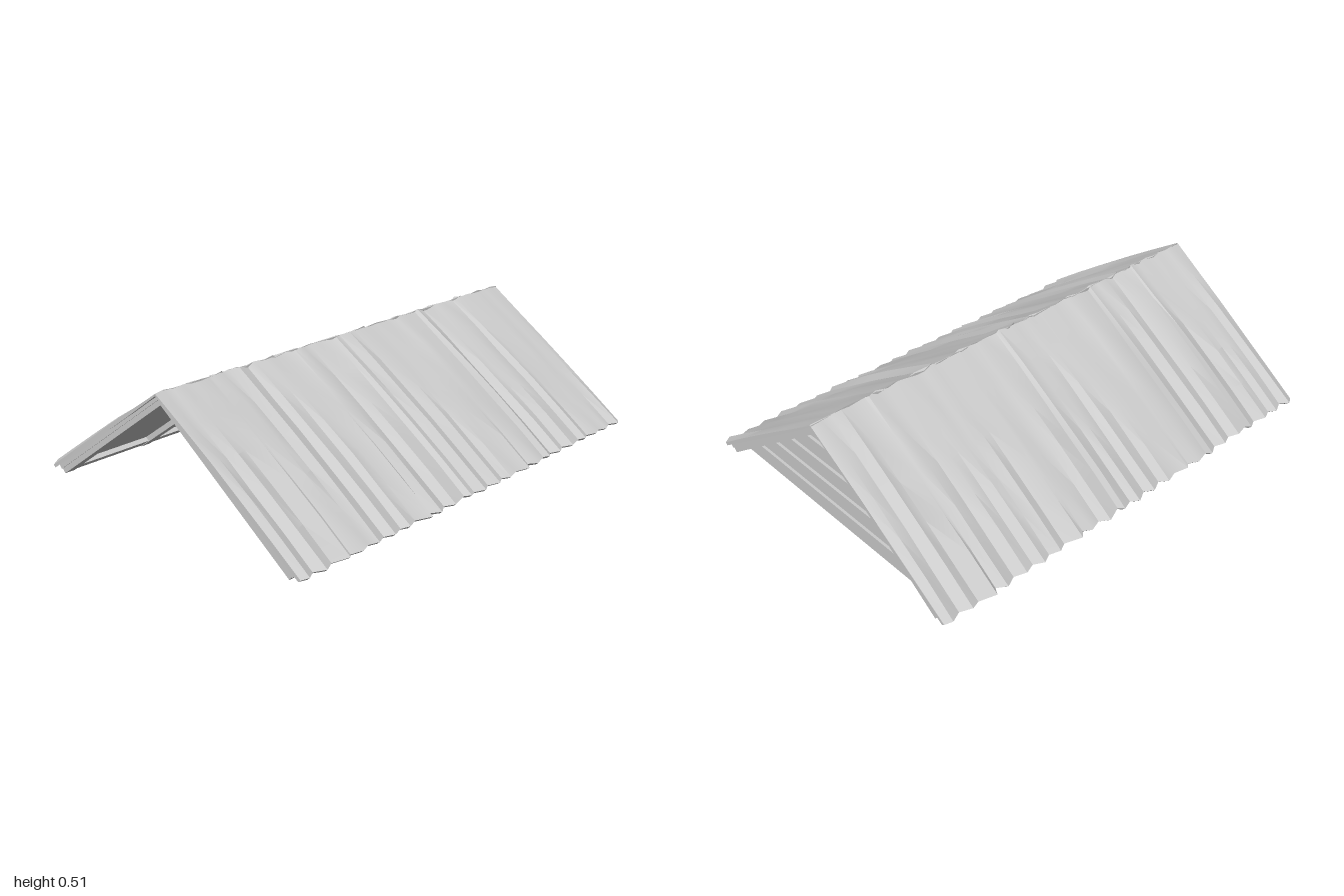
import * as THREE from 'three';
import { toCreasedNormals } from 'three/addons/utils/BufferGeometryUtils.js';

const material = new THREE.MeshStandardMaterial({ color: 0xcccccc, side: THREE.DoubleSide });

// small seeded random, -1..1
function seeded(seed) {
  let s = seed;
  return () => {
    s = (s * 16807) % 2147483647;
    return (s / 2147483647) * 2 - 1;
  };
}

// outline in x/y, extruded from z0 to z1
function prism(name, points, z0, z1) {
  const shape = new THREE.Shape(points.map(([x, y]) => new THREE.Vector2(x, y)));
  const geometry = new THREE.ExtrudeGeometry(shape, { depth: z1 - z0, bevelEnabled: false });
  geometry.translate(0, 0, z0);
  const mesh = new THREE.Mesh(geometry, material);
  mesh.name = name;
  return mesh;
}

// weathered ribbed covering of the +x slope
function coveringGeometry(seed) {
  const rows = 5, columns = 46;
  const rand = seeded(seed);
  const ribs = [];
  for (let k = 0; k <= columns; k++) {
    ribs.push({
      height: (k % 2 ? 0.004 : -0.002) + rand() * 0.005,
      eave: (k % 2 ? 0.012 : -0.008) + rand() * 0.005,
      ridge: rand() * 0.007,
      shift: rand() * 0.007,
      bend: Array.from({ length: rows + 1 }, () => rand() * 0.003),
    });
  }
  // a few raised overlaps between sheets
  [7, 13, 16, 25, 30, 40].forEach((k) => { ribs[k].height += 0.009; ribs[k + 1].shift = -0.028; });

  const geometry = new THREE.BoxGeometry(1, 1, 2, rows, 1, columns);
  const p = geometry.attributes.position;
  for (let i = 0; i < p.count; i++) {
    const u = p.getX(i) + 0.5;
    const top = p.getY(i) > 0;
    const k = Math.round((p.getZ(i) + 1) / 2 * columns);
    const rib = ribs[k];
    const end = k === 0 || k === columns;
    const ripple = (rib.height + rib.bend[Math.round(u * rows)]) * (0.35 + 0.65 * Math.sin(Math.PI * (0.1 + 0.8 * u)));
    const sag = 0.008 * Math.sin(Math.PI * u);
    const lift = top ? 0.011 + ripple + sag : Math.min(0, ripple);
    const x = u * (0.695 + (end ? 0 : rib.eave)) + (1 - u) * rib.ridge;
    p.setXYZ(i,
      x + lift * 0.58 * u + (top ? 0.005 * u : 0),
      0.5 - u * 0.48 + lift * 0.81,
      p.getZ(i) * (end ? 1 - 0.012 * u : 1) + (end ? 0 : rib.shift));
  }
  return toCreasedNormals(geometry, 0.45);
}

export function createModel() {
  const roof = new THREE.Group();
  roof.name = 'gableRoof';

  // both slopes: the second is the first turned half round
  [['left', 11, 0], ['right', 4711, Math.PI]].forEach(([side, seed, turn]) => {
    const slope = new THREE.Group();
    slope.name = side + 'Slope';
    slope.rotation.y = turn;

    const covering = new THREE.Mesh(coveringGeometry(seed), material);
    covering.name = 'ribbedCovering';
    slope.add(covering);

    // boarding under the covering
    slope.add(prism('boarding', [[0, 0.485], [0.66, 0.018], [0.675, 0.036], [0, 0.501]], -0.98, 0.98));

    // rafters
    for (let i = 0; i < 6; i++) {
      const z = -0.955 + i * 0.382;
      slope.add(prism('rafter', [[0, 0.46], [0.642, 0.003], [0.668, 0.034], [0, 0.498]], z - 0.022, z + 0.022));
    }

    // rails along the ridge and the eave
    slope.add(prism('ridgeRail', [[0, 0.463], [0.035, 0.438], [0.035, 0.475], [0, 0.498]], -0.97, 0.97));
    slope.add(prism('eaveRail', [[0.59, 0.043], [0.638, 0.009], [0.664, 0.034], [0.617, 0.065]], -0.97, 0.97));
    roof.add(slope);
  });

  // boarded gable closing the back end
  const gable = new THREE.Group();
  gable.name = 'backGable';
  const base = 0.05, apex = 0.475, rise = 0.715;
  const halfWidth = (y) => (apex - y) / rise;
  gable.add(prism('gablePanel', [[-halfWidth(base), base], [halfWidth(base), base], [0, apex]], -0.925, -0.91));
  const boards = 5, pitch = (apex - base) / boards, gap = 0.018;
  for (let i = 0; i < boards; i++) {
    const y0 = base + i * pitch;
    const y1 = i === boards - 1 ? apex : y0 + pitch - gap;
    const a = halfWidth(y0), b = Math.max(halfWidth(y1), 0.001);
    gable.add(prism('gableBoard', [[-a, y0], [a, y0], [b, y1], [-b, y1]], -0.95, -0.925));
  }
  roof.add(gable);
  return roof;
}
